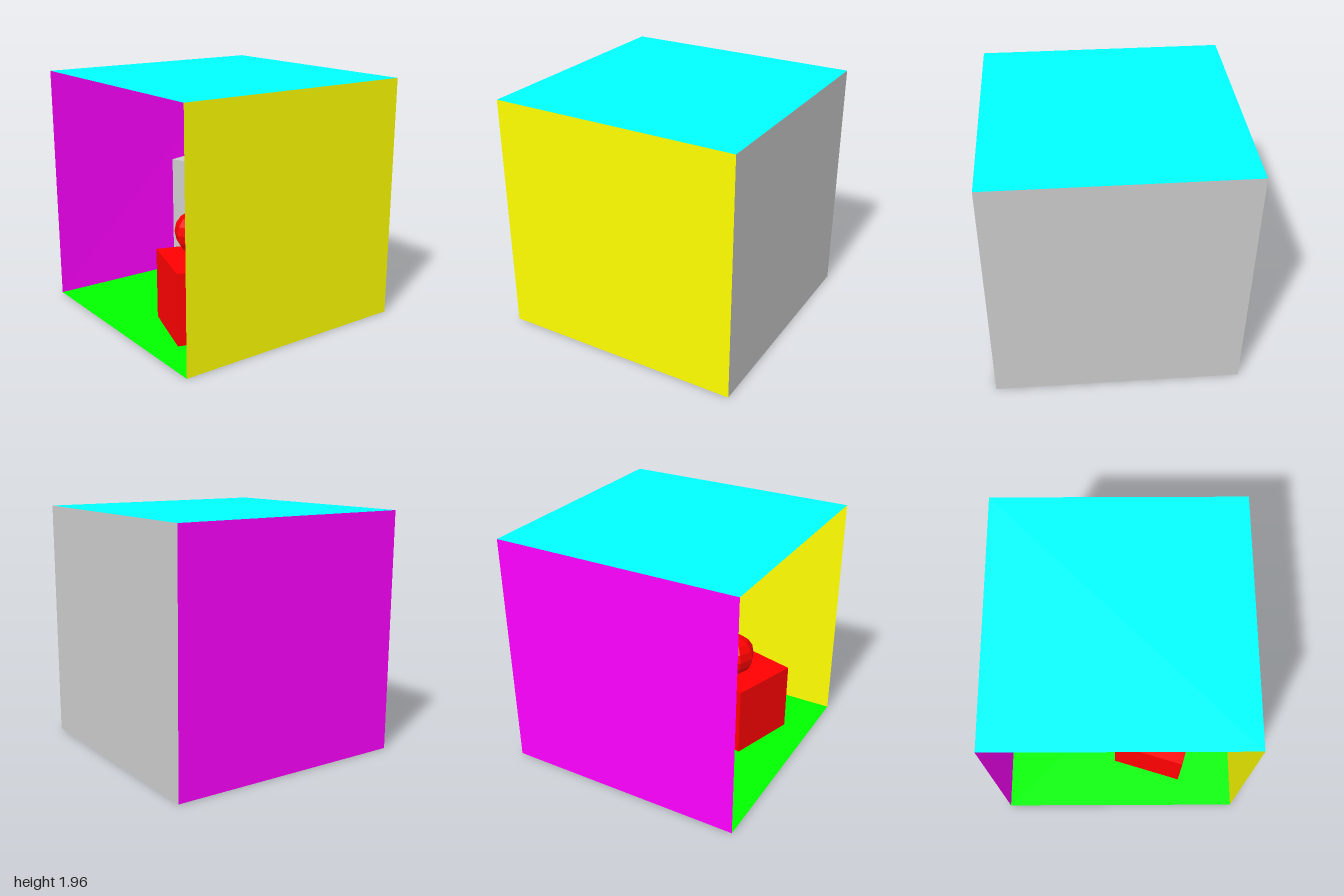
import * as THREE from 'three';

const GREY = 0xcccccc, RED = 0xff0000;
const TOP = 1.963;

// Flat-shaded mesh made of four-cornered faces, corners counter-clockwise
function quads(name, color, faces) {
  const pos = faces.flatMap(([a, b, c, d]) => [a, b, c, a, c, d]).flat();
  const geometry = new THREE.BufferGeometry();
  geometry.setAttribute('position', new THREE.Float32BufferAttribute(pos, 3));
  geometry.computeVertexNormals();
  const mesh = new THREE.Mesh(geometry, material(color));
  mesh.name = name;
  return mesh;
}

function material(color) {
  return new THREE.MeshStandardMaterial({ color, flatShading: true, side: THREE.DoubleSide });
}

// Upright block standing on the floor; footprint is [x, z] counter-clockwise seen from above
function block(name, color, footprint, height) {
  const low = footprint.map(([x, z]) => [x, 0, z]);
  const high = footprint.map(([x, z]) => [x, height, z]);
  const faces = low.map((p, i) => {
    const j = (i + 1) % 4;
    return [p, low[j], high[j], high[i]];
  });
  return quads(name, color, [...faces, high]);
}

export function createModel() {
  const model = new THREE.Group();
  model.name = 'openRoom';

  // Room corners: the wall at -x leans and tapers very slightly
  const floor = [[-0.983, 0, 1], [0.994, 0, 1], [0.994, 0, -1], [-0.971, 0, -1]];
  const ceiling = [[-0.994, TOP, 1], [0.994, TOP, 1], [0.994, TOP, -1], [-0.994, TOP, -1]];
  const wall = (i, j) => [floor[j], floor[i], ceiling[i], ceiling[j]];

  // Room shell, open at the front, faces turned inward
  model.add(
    quads('floor', 0x00ff00, [floor]),
    quads('ceiling', 0x00ffff, [[...ceiling].reverse()]),
    quads('leftWall', 0xffff00, [wall(1, 2)]),
    quads('backWall', GREY, [wall(2, 3)]),
    quads('rightWall', 0xff00ff, [wall(3, 0)])
  );

  // Two turned blocks
  model.add(
    block('tallBlock', GREY, [[-0.519, 0.117], [0.046, -0.059], [-0.129, -0.631], [-0.694, -0.452]], 1.18),
    block('shortBlock', RED, [[0.529, 0.768], [0.701, 0.195], [0.136, 0.027], [-0.043, 0.592]], 0.59)
  );

  // Faceted ball resting on the short block
  const ball = new THREE.Mesh(new THREE.SphereGeometry(0.177, 8, 8), material(RED));
  ball.name = 'ball';
  ball.position.set(0.23, 0.769, 0.385);
  model.add(ball);

  return model;
}
